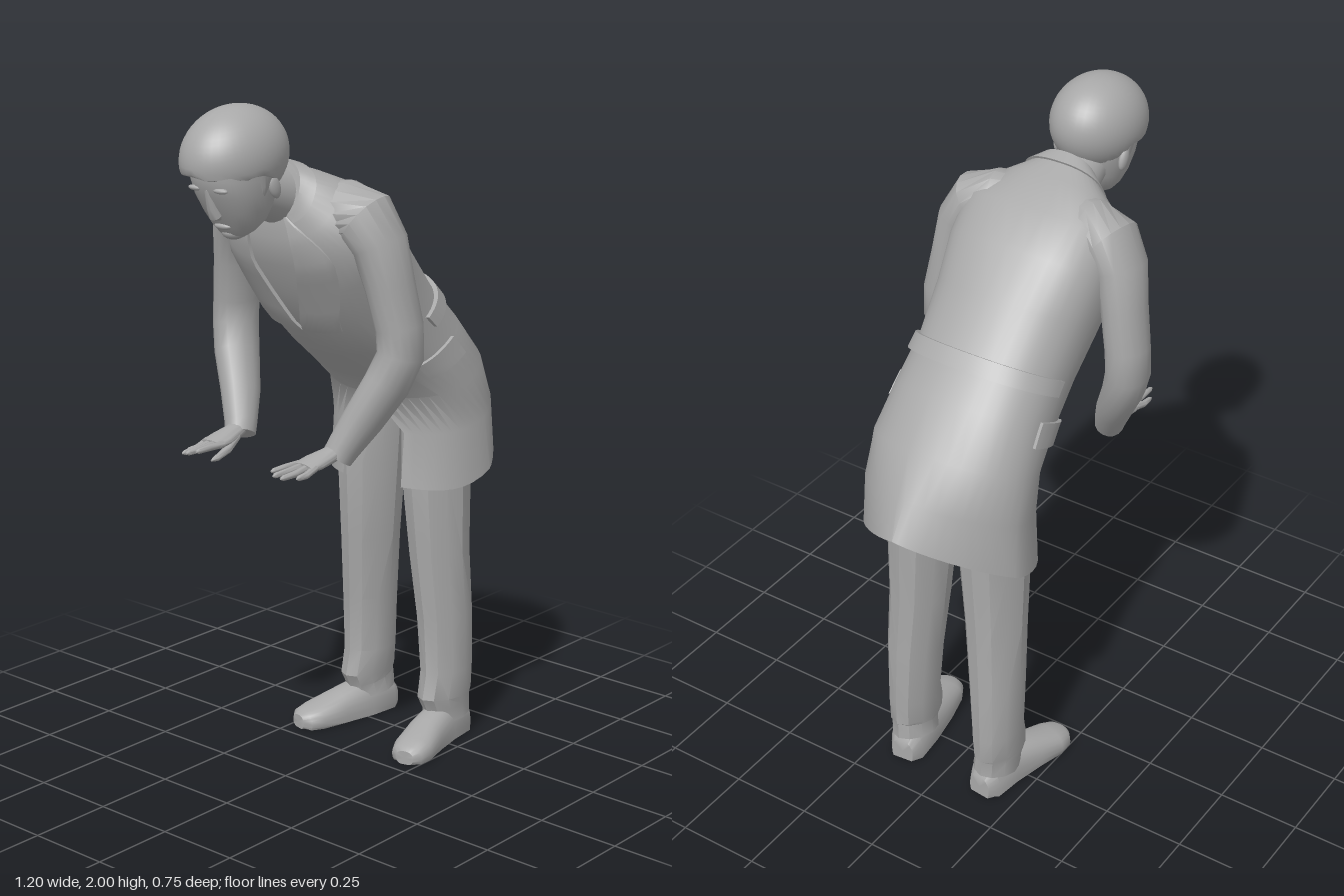
import * as THREE from 'three';
import { toCreasedNormals } from 'three/addons/utils/BufferGeometryUtils.js';

const grey = new THREE.MeshStandardMaterial({ color: 0xa8a8a8, side: THREE.DoubleSide });
grey.name = 'plain grey';
const V = (x, y, z) => new THREE.Vector3(x, y, z);
const pw = (a, e) => Math.sign(a) * Math.abs(a) ** e;

// Skin a list of point rows; closed rows form capped tubes
function skin(rows, { closed = true, crease = 0.7 } = {}) {
  const n = rows[0].length, pts = rows.flat(), idx = [];
  const cols = closed ? n : n - 1;
  for (let r = 0; r < rows.length - 1; r++) for (let i = 0; i < cols; i++) {
    const a = r * n + i, b = r * n + (i + 1) % n;
    idx.push(a, b, a + n, b, b + n, a + n);
  }
  if (closed) [0, rows.length - 1].forEach((r) => {
    const mid = rows[r].reduce((s, p) => s.add(p), V(0, 0, 0)).divideScalar(n);
    const c = pts.push(mid) - 1;
    for (let i = 0; i < n; i++) {
      const a = r * n + i, b = r * n + (i + 1) % n;
      r === 0 ? idx.push(c, b, a) : idx.push(c, a, b);
    }
  });
  // Turn the faces outward when the enclosed volume comes out negative
  const mid = pts.reduce((s, p) => s.add(p), V(0, 0, 0)).divideScalar(pts.length);
  let vol = 0;
  for (let i = 0; i < idx.length; i += 3) {
    const [a, b, c] = [0, 1, 2].map((k) => pts[idx[i + k]].clone().sub(mid));
    vol += a.dot(b.cross(c));
  }
  if (closed && vol < 0) idx.reverse();
  const g = new THREE.BufferGeometry().setFromPoints(pts);
  g.setIndex(idx);
  return toCreasedNormals(g, crease);
}

// Tube along rows of [x, y, z, radius across, radius sideways]; side mirrors z
function limb(rows, side = 1, { n = 2, floor = -1, seg = 24, crease = 0.7 } = {}) {
  const c = rows.map((r) => V(r[0], r[1], r[2]));
  return skin(rows.map((r, i) => {
    const t = c[Math.min(i + 1, c.length - 1)].clone().sub(c[Math.max(i - 1, 0)]).normalize();
    const v = V(0, 0, 1).addScaledVector(t, -t.z).normalize();
    const u = v.clone().cross(t);
    return Array.from({ length: seg }, (_, k) => {
      const a = k / seg * Math.PI * 2;
      const p = c[i].clone().addScaledVector(u, r[3] * pw(Math.cos(a), 2 / n))
        .addScaledVector(v, r[4] * pw(Math.sin(a), 2 / n));
      return p.set(p.x, Math.max(p.y, floor), p.z * side);
    });
  }), { crease });
}

// Section: [front x, front y, back x, back y, half width, back roundness, side sag]
function section([fx, fy, bx, by, w, nb = 2.3, sag = 0], a, off = 0) {
  const back = Math.cos(a) > 0, n = back ? nb : 2.4;
  const s = pw(Math.cos(a), 2 / n), q = pw(Math.sin(a), 2 / n);
  const len = Math.hypot(bx - fx, by - fy), k = s * (0.5 + off / len);
  const drop = sag * Math.abs(q) ** (back ? 1 : 3);
  return V((fx + bx) / 2 + (bx - fx) * k, (fy + by) / 2 + (by - fy) * k - drop, q * (w + off));
}
const sections = (rows) => skin(rows.map((r) =>
  Array.from({ length: 40 }, (_, k) => section(r, k / 40 * Math.PI * 2))));

// Coat, from the neck down to the hem
const coat = [
  [-0.30, 1.69, -0.26, 1.83, 0.085], [-0.305, 1.62, -0.17, 1.80, 0.18, 2.5],
  [-0.28, 1.54, -0.06, 1.755, 0.25, 2.7], [-0.23, 1.45, 0.04, 1.68, 0.25, 2.5],
  [-0.18, 1.36, 0.14, 1.57, 0.237], [-0.07, 1.25, 0.24, 1.45, 0.227],
  [0.03, 1.17, 0.35, 1.34, 0.235], [0.13, 1.09, 0.455, 1.225, 0.25, 2.1, 0.01],
  [0.145, 0.98, 0.535, 1.12, 0.258, 1.7, 0.03], [0.125, 0.82, 0.60, 1.02, 0.265, 1.35, 0.065],
];
function coatPoint(u, a, off) {
  const i = Math.min(Math.floor(u), coat.length - 2), f = u - i;
  return section(coat[i], a, off).lerp(section(coat[i + 1], a, off), f);
}
// Raised panel on the coat; angles may vary along its length
function panel(u0, u1, a0, a1, off, nu = 6, na = 20) {
  const rows = [];
  for (let i = -1; i <= nu + 1; i++) {
    const f = THREE.MathUtils.clamp(i / nu, 0, 1), row = [];
    for (let j = -1; j <= na + 1; j++) {
      const g = THREE.MathUtils.clamp(j / na, 0, 1);
      const edge = i < 0 || j < 0 || i > nu || j > na;
      row.push(coatPoint(u0 + (u1 - u0) * f, a0(f) + (a1(f) - a0(f)) * g, edge ? 0 : off));
    }
    rows.push(row);
  }
  return skin(rows, { closed: false, crease: 0.5 });
}

export function createModel() {
  const model = new THREE.Group();
  model.name = 'bowingMan';
  const add = (name, geometry) => {
    const m = new THREE.Mesh(geometry, grey);
    m.name = name;
    model.add(m);
    return m;
  };

  // Coat whose skirt parts in front below the waist, half belt and collar
  add('coat', skin(coat.map((r, i) => Array.from({ length: 41 }, (_, k) =>
    section(r, (i > 7 ? 2.78 : Math.PI) * (k / 20 - 1)))), { closed: false }));
  add('shirtFront', sections([coat[0], [-0.30, 1.685, -0.262, 1.825, 0.08]]));
  add('halfBelt', panel(5.03, 5.36, () => -1.5, () => 1.5, 0.012, 2, 32));
  add('collar', panel(0, 0.4, () => -2.5, () => 2.5, 0.008, 3, 40));

  // Trouser seat
  add('trouserSeat', limb([[0.24, 1.22, 0, 0.10, 0.17], [0.28, 1.12, 0, 0.11, 0.20],
    [0.285, 1.03, 0, 0.09, 0.18]], 1, { n: 2.4 }));

  // Neck
  add('neck', limb([[-0.40, 1.78, 0, 0.07, 0.075], [-0.34, 1.755, 0, 0.07, 0.075],
    [-0.25, 1.73, 0, 0.085, 0.09]]));

  // Face, tilted down
  add('face', sections([
    [-0.555, 1.88, -0.32, 1.88, 0.10], [-0.557, 1.81, -0.31, 1.80, 0.104],
    [-0.54, 1.765, -0.32, 1.765, 0.10], [-0.51, 1.715, -0.335, 1.73, 0.09],
    [-0.485, 1.675, -0.35, 1.695, 0.072], [-0.465, 1.65, -0.375, 1.67, 0.05],
    [-0.445, 1.64, -0.40, 1.65, 0.025],
  ]));
  add('nose', limb([[-0.54, 1.785, 0, 0.008, 0.010], [-0.524, 1.735, 0, 0.015, 0.014],
    [-0.510, 1.71, 0, 0.017, 0.020], [-0.498, 1.702, 0, 0.008, 0.012]]));
  add('lips', new THREE.SphereGeometry(1, 16, 10).scale(0.014, 0.01, 0.03).translate(-0.482, 1.678, 0));
  add('chin', new THREE.SphereGeometry(1, 16, 10).scale(0.03, 0.02, 0.035).translate(-0.443, 1.656, 0));

  // Hair: tilted ellipsoid cut off underneath, lower at the nape
  const hair = new THREE.SphereGeometry(1, 40, 28).scale(0.168, 0.136, 0.13)
    .rotateZ(0.2).translate(-0.435, 1.863, 0);
  const p = hair.attributes.position;
  for (let i = 0; i < p.count; i++) {
    const x = p.getX(i), nape = THREE.MathUtils.smoothstep(x, -0.42, -0.34);
    const low = 1.82 - 0.045 * nape + 0.005 * Math.sin(x * 60 + p.getZ(i) * 35);
    p.setY(i, Math.max(p.getY(i), low));
  }
  hair.deleteAttribute('uv');
  add('hair', toCreasedNormals(hair, 0.8));

  for (const s of [1, -1]) {
    const side = s > 0 ? 'left' : 'right';
    const sided = (name, rows, opt) => add(side + name, limb(rows, s, opt));

    // Ear, sideburn and brow
    add(side + 'Ear', new THREE.SphereGeometry(1, 14, 10).scale(0.02, 0.034, 0.012)
      .rotateZ(0.4).translate(-0.395, 1.785, s * 0.108));
    sided('Sideburn', [[-0.425, 1.83, 0.105, 0.03, 0.015], [-0.425, 1.79, 0.102, 0.015, 0.008],
      [-0.425, 1.765, 0.096, 0.006, 0.004]]);
    add(side + 'Brow', new THREE.SphereGeometry(1, 12, 8).scale(0.012, 0.008, 0.026)
      .translate(-0.538, 1.785, s * 0.045));

    // Lapel and pocket flap
    add(side + 'Lapel', panel(0.15, 4.2, (f) => s * (Math.PI - 0.45 * (1 - f)),
      (f) => s * (Math.PI - 0.5 - 0.65 * Math.sin(f * 2.2) * (1 - f)), 0.01, 12, 6));
    add(side + 'PocketFlap', panel(5.9, 6.4, () => s * 1.4, () => s * 2.1, 0.01, 3, 10));

    // Sleeve: shoulder yoke from the neck, elbow turned out
    sided('Sleeve', [
      [-0.17, 1.70, 0.06, 0.06, 0.07], [-0.16, 1.692, 0.15, 0.09, 0.083],
      [-0.15, 1.675, 0.22, 0.098, 0.08], [-0.14, 1.61, 0.262, 0.088, 0.068],
      [-0.125, 1.50, 0.285, 0.078, 0.061], [-0.11, 1.38, 0.308, 0.072, 0.061],
      [-0.11, 1.30, 0.312, 0.070, 0.062], [-0.135, 1.22, 0.285, 0.072, 0.059],
      [-0.175, 1.12, 0.235, 0.063, 0.053], [-0.215, 1.04, 0.197, 0.049, 0.046],
      [-0.23, 1.01, 0.185, 0.045, 0.043],
    ], { n: 2.1, seg: 16 });

    // Hand: palm, four fingers and a lower thumb
    sided('Palm', [[-0.215, 1.035, 0.19, 0.024, 0.026], [-0.265, 1.022, 0.182, 0.022, 0.032],
      [-0.32, 1.013, 0.177, 0.02, 0.041], [-0.365, 1.008, 0.175, 0.013, 0.04]]);
    [-0.455, -0.472, -0.465, -0.425].forEach((tip, i) => {
      const z = 0.146 + i * 0.02, zt = 0.143 + i * 0.022, y = 1.012 - i * 0.005;
      sided('Finger' + (i + 1), [[-0.345, 1.01, z, 0.011, 0.011],
        [(tip - 0.345) / 2, y, (z + zt) / 2, 0.010, 0.0095],
        [tip + 0.01, y, zt, 0.008, 0.007], [tip, y, zt, 0.003, 0.003]], { seg: 10 });
    });
    sided('Thumb', [[-0.275, 1.015, 0.16, 0.014, 0.014], [-0.33, 0.993, 0.14, 0.012, 0.012],
      [-0.385, 0.98, 0.132, 0.009, 0.009], [-0.405, 0.978, 0.132, 0.003, 0.004]], { seg: 10 });

    // Trouser leg, pressed to a crease front and back
    sided('TrouserLeg', [
      [0.29, 1.10, 0.125, 0.11, 0.115], [0.285, 0.85, 0.125, 0.118, 0.103],
      [0.293, 0.60, 0.135, 0.105, 0.089], [0.307, 0.40, 0.147, 0.099, 0.081],
      [0.313, 0.22, 0.152, 0.097, 0.072], [0.303, 0.14, 0.153, 0.105, 0.068],
      [0.312, 0.115, 0.153, 0.092, 0.063], [0.318, 0.07, 0.15, 0.087, 0.066],
    ], { n: 1.85, seg: 12, crease: 0.5 });

    // Shoe, flat underneath, toe turned slightly out
    sided('Shoe', [
      [0.40, 0.025, 0.142, 0.045, 0.036], [0.37, 0.025, 0.145, 0.085, 0.055],
      [0.28, 0.025, 0.155, 0.09, 0.056], [0.18, 0.025, 0.176, 0.066, 0.06],
      [0.10, 0.022, 0.198, 0.044, 0.062], [0.06, 0.02, 0.208, 0.034, 0.05],
      [0.043, 0.02, 0.212, 0.022, 0.028],
    ], { n: 2.4, floor: 0 });
  }
  return model;
}
